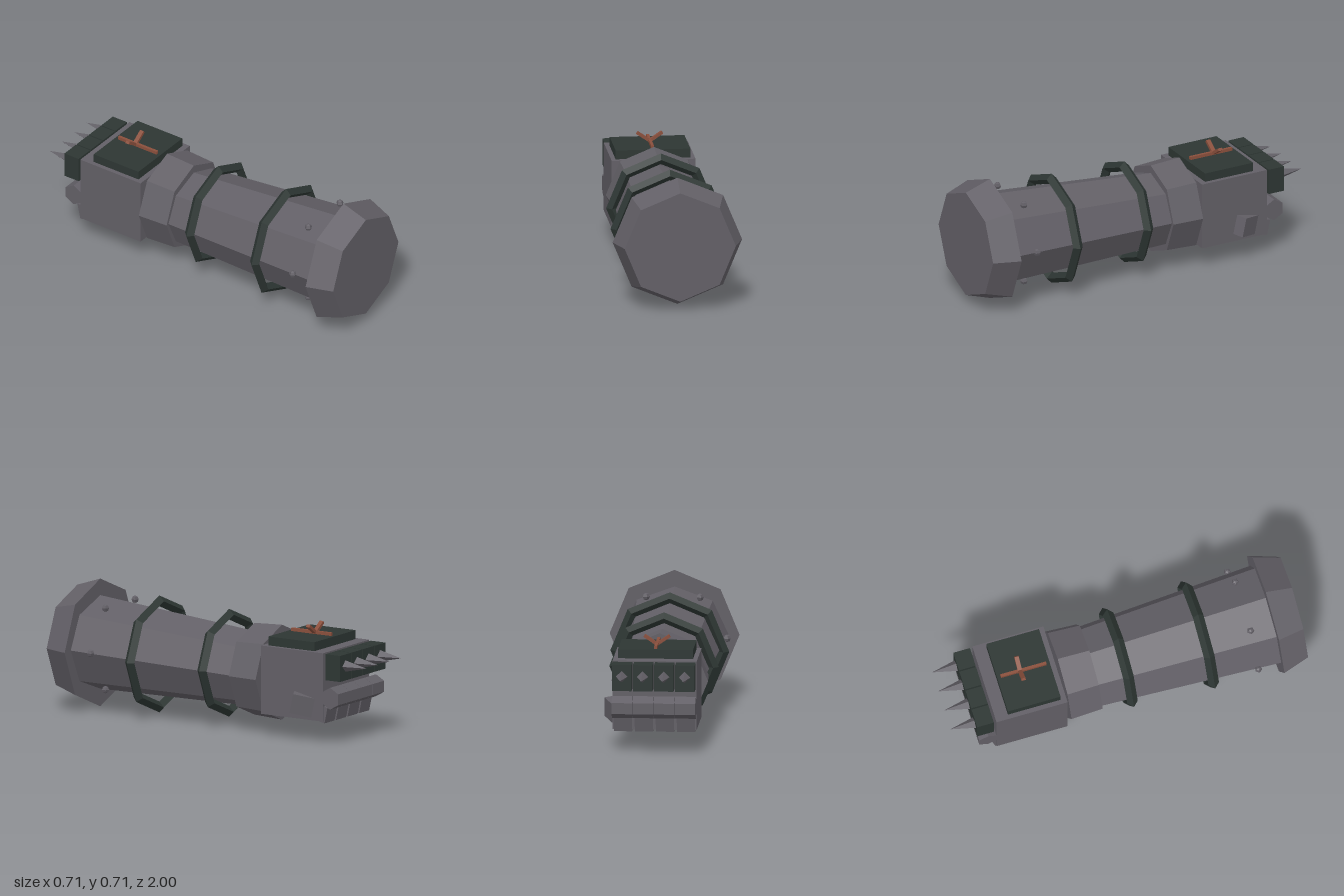
import * as THREE from 'three';

const material = (name, color) => Object.assign(new THREE.MeshStandardMaterial({ color }), { name });

// Faceted normals for the low-poly look
function facet(geometry) {
  const flat = geometry.index ? geometry.toNonIndexed() : geometry;
  flat.computeVertexNormals();
  return flat;
}

export function createModel() {
  const steel = material('grey steel', 0x625f66);
  const dark = material('dark green iron', 0x2d3633);
  const copper = material('copper', 0x8a4f3c);

  const model = new THREE.Group();
  model.name = 'gauntlet';

  function add(name, geometry, mat, x, y, z) {
    const mesh = new THREE.Mesh(facet(geometry), mat);
    mesh.name = name;
    mesh.position.set(x, y, z);
    model.add(mesh);
    return mesh;
  }
  const box = (name, mat, w, h, d, x, y, z) => add(name, new THREE.BoxGeometry(w, h, d), mat, x, y, z);

  // Eight-sided sleeve along z; `rise` lifts its front end relative to its back end
  function sleeve(name, zFront, zBack, rFront, rBack, y, widen = 1, rise = 0) {
    const length = zFront - zBack;
    const g = new THREE.CylinderGeometry(rFront, rBack, length, 8).rotateX(Math.PI / 2).scale(widen, 1, 1);
    const p = g.attributes.position;
    for (let i = 0; i < p.count; i++) p.setY(i, p.getY(i) + (rise * p.getZ(i)) / length);
    return add(name, g, steel, 0, y, (zFront + zBack) / 2);
  }

  // Cuff, forearm and wrist
  sleeve('cuff', 1, 0.85, 0.305, 0.355, 0.357);
  sleeve('forearm', 0.85, -0.155, 0.26, 0.21, 0.34, 1.13, 0.04);
  sleeve('wrist', -0.155, -0.335, 0.255, 0.264, 0.32);

  // Diamond-section bands around the forearm
  for (const [z, radius] of [[0.465, 0.295], [0.01, 0.27]]) {
    add('forearmBand', new THREE.TorusGeometry(radius, 0.03, 4, 8), dark, 0, 0.335, z);
  }

  // Ring of rivets behind the cuff
  for (let i = 0; i < 6; i++) {
    const a = (i * Math.PI) / 3;
    add('rivet', new THREE.SphereGeometry(0.021, 5, 4), steel,
      0.295 * Math.cos(a), 0.36 + 0.262 * Math.sin(a), 0.72);
  }

  // Hand and its back plate
  box('palm', steel, 0.46, 0.38, 0.405, 0, 0.318, -0.55);
  box('backPlate', dark, 0.41, 0.055, 0.3, 0, 0.53, -0.53);

  // Copper emblem: a long bar with two raised arms
  box('emblemBar', copper, 0.016, 0.02, 0.26, 0, 0.565, -0.53);
  for (const side of [-1, 1]) {
    const arm = box('emblemArm', copper, 0.085, 0.016, 0.024, side * 0.034, 0.588, -0.55);
    arm.rotation.z = side * 0.6;
  }

  // Knuckle blocks with spikes, curled fingers and fingertips
  for (let i = 0; i < 4; i++) {
    const x = (i - 1.5) * 0.115;
    box('knuckle', dark, 0.107, 0.145, 0.095, x, 0.432, -0.814);
    add('knuckleSpike', new THREE.ConeGeometry(0.032, 0.14, 4).rotateX(-Math.PI / 2), steel, x, 0.44, -0.93);
    add('finger', new THREE.CylinderGeometry(0.061, 0.061, 0.113, 6).rotateZ(Math.PI / 2).rotateX(Math.PI / 2),
      steel, x, 0.26, -0.798);
    const tip = box('fingertip', steel, 0.1, 0.09, 0.06, x, 0.168, -0.738);
    tip.rotation.x = -0.22;
  }

  // Thumb angled out of the left side of the palm
  const thumb = box('thumb', steel, 0.1, 0.11, 0.2, 0.195, 0.205, -0.647);
  thumb.rotation.set(-0.22, 0.47, 0);

  return model;
}
